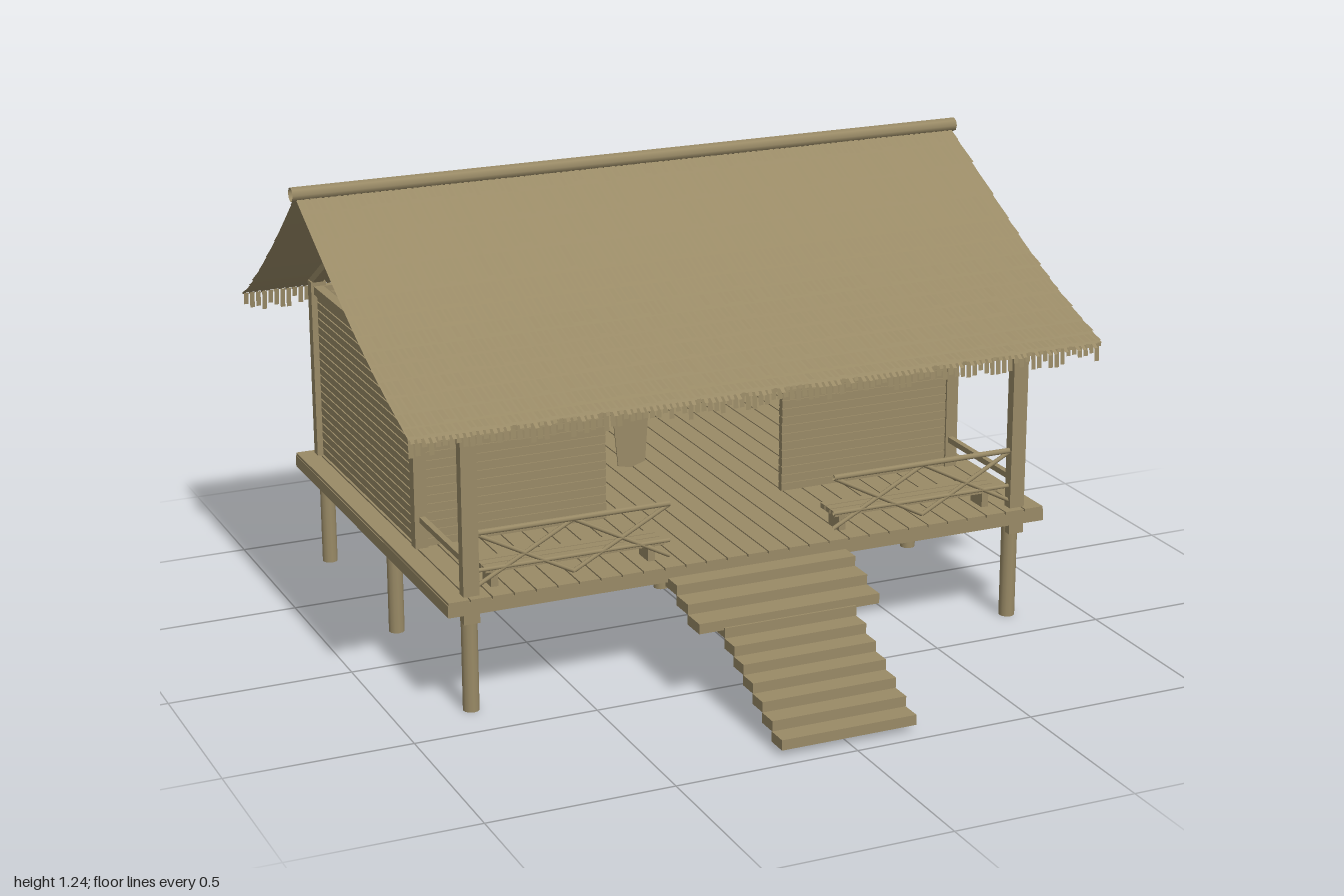
import * as THREE from 'three';
import { mergeGeometries } from 'three/addons/utils/BufferGeometryUtils.js';

const wood = new THREE.MeshStandardMaterial({ color: 0x998a66, side: THREE.DoubleSide });
wood.name = 'weathered wood';

// Box given by its min/max limits
function box(x0, x1, y0, y1, z0, z1) {
  return new THREE.BoxGeometry(x1 - x0, y1 - y0, z1 - z0)
    .translate((x0 + x1) / 2, (y0 + y1) / 2, (z0 + z1) / 2);
}

// Square or round bar between two points
function bar(a, b, w, h = 0) {
  const A = new THREE.Vector3(...a), B = new THREE.Vector3(...b);
  const len = A.distanceTo(B);
  const g = h ? new THREE.BoxGeometry(w, h, len)
    : new THREE.CylinderGeometry(w, w, len, 8, 1, true).rotateX(Math.PI / 2);
  const m = new THREE.Matrix4().lookAt(B, A, new THREE.Vector3(0, 1, 0));
  return g.applyMatrix4(m).translate(...A.add(B).multiplyScalar(0.5).toArray());
}

let seed = 7;
function rand() {
  seed = (seed * 16807) % 2147483647;
  return seed / 2147483647;
}

export function createModel() {
  const group = new THREE.Group();
  const add = (name, geos) => {
    const mesh = new THREE.Mesh(mergeGeometries(geos), wood);
    mesh.name = name;
    group.add(mesh);
  };

  // Stilts
  const stilts = [];
  for (const x of [-0.795, 0, 0.795])
    for (const z of [0.36, -0.225, -0.815])
      stilts.push(new THREE.CylinderGeometry(0.022, 0.022, 0.29, 12).translate(x, 0.145, z));
  add('stilts', stilts);

  // Deck slab with planks running front to back
  const deck = [box(-0.87, 0.87, 0.285, 0.318, -0.867, 0.413)];
  const planks = 29, pw = 1.74 / planks;
  for (let i = 0; i < planks; i++)
    deck.push(box(-0.87 + i * pw + 0.002, -0.87 + (i + 1) * pw - 0.002, 0.318, 0.326, -0.867, 0.413));
  add('deck', deck);

  // Steps: narrow flight below, wide treads above
  const steps = [];
  for (let i = 0; i < 7; i++) {
    const z = 0.955 - i * 0.0565, y = 0.017 + i * 0.029;
    steps.push(box(-0.19, 0.19, y, y + 0.028, z - 0.06, z));
  }
  for (let i = 0; i < 3; i++) {
    const z = 0.61 - i * 0.07, y = 0.212 + i * 0.028;
    steps.push(box(-0.26, 0.26, y, y + 0.028, z - 0.075, z));
  }
  add('steps', steps);

  // Frame posts and wall-top rails
  const posts = [box(-0.022, 0.022, 0.25, 0.84, -0.845, -0.815)];
  const rails = [box(-0.79, 0.79, 0.815, 0.832, -0.835, -0.81)];
  for (const s of [-1, 1]) {
    const x = s * 0.798;
    posts.push(box(x - 0.022, x + 0.022, 0.25, 0.805, 0.363, 0.392));
    posts.push(box(x - 0.022, x + 0.022, 0.25, 0.845, -0.845, -0.815));
    posts.push(box(x - 0.018, x + 0.018, 0.325, 0.852, -0.016, 0.016));
    rails.push(box(x - 0.014, x + 0.014, 0.808, 0.832, -0.83, 0));
  }
  add('posts', posts);
  add('wallRails', rails);

  // Walls of horizontal boards on a thin backing
  const wall = (name, x0, x1, z0, z1) => {
    const rows = 20, y0 = 0.326, pitch = 0.485 / rows;
    const alongX = x1 - x0 > z1 - z0, t = 0.004;
    const geos = [alongX ? box(x0, x1, y0, 0.811, z0 + t, z1 - t) : box(x0 + t, x1 - t, y0, 0.811, z0, z1)];
    for (let i = 0; i < rows; i++)
      geos.push(box(x0, x1, y0 + i * pitch + 0.002, y0 + (i + 1) * pitch - 0.002, z0, z1));
    add(name, geos);
  };
  wall('backWall', -0.79, 0.79, -0.835, -0.815);
  wall('rightWall', -0.803, -0.783, -0.83, -0.01);
  wall('leftWall', 0.783, 0.803, -0.83, -0.01);
  wall('frontWallRight', -0.79, -0.265, -0.01, 0.01);
  wall('frontWallLeft', 0.265, 0.79, -0.01, 0.01);

  // Curtain beside the doorway
  const c = new THREE.Shape([[-0.26, 0.81], [-0.257, 0.68], [-0.237, 0.48], [-0.2, 0.472],
    [-0.158, 0.485], [-0.145, 0.66], [-0.125, 0.81]].map(p => new THREE.Vector2(...p)));
  add('curtain', [new THREE.ExtrudeGeometry(c, { depth: 0.004, bevelEnabled: false }).translate(0, 0, 0.026)]);

  // Porch railings with crossed braces, side rails and benches
  const porch = [], benches = [];
  for (const s of [-1, 1]) {
    const z = 0.377;
    porch.push(bar([s * 0.79, 0.49, z], [s * 0.24, 0.49, z], 0.008));
    porch.push(bar([s * 0.79, 0.388, z], [s * 0.24, 0.388, z], 0.006));
    for (const [a, b] of [[0.78, 0.51], [0.51, 0.24]]) {
      porch.push(bar([s * a, 0.488, z], [s * b, 0.345, z], 0.006));
      porch.push(bar([s * a, 0.345, z], [s * b, 0.488, z], 0.006));
    }
    porch.push(bar([s * 0.795, 0.407, 0.37], [s * 0.795, 0.407, 0.01], 0.016, 0.016));
    const [l, r] = [s * 0.75, s * 0.25].sort((a, b) => a - b);
    for (let i = 0; i < 3; i++)
      benches.push(box(l, r, 0.372, 0.386, 0.28 + i * 0.03, 0.306 + i * 0.03));
    for (const x of [0.72, 0.28])
      benches.push(box(s * x - 0.01, s * x + 0.01, 0.326, 0.372, 0.29, 0.352));
  }
  add('porchRailings', porch);
  add('benches', benches);

  // Rafters
  const rafters = [];
  for (const x of [-0.8, 0.8]) {
    rafters.push(bar([x, 0.8, 0.385], [x, 1.125, -0.385], 0.03, 0.02));
    rafters.push(bar([x, 1.125, -0.375], [x, 0.84, -0.84], 0.03, 0.02));
  }
  add('rafters', rafters);

  // Thatch slopes: a sagging sheet, rows of leaf strips and a ragged fringe
  const slope = (name, pts, rows, dir) => {
    const curve = new THREE.SplineCurve(pts.map(p => new THREE.Vector2(...p)));
    const sheet = new THREE.PlaneGeometry(1.976, 1, 1, 16);
    const pos = sheet.attributes.position;
    for (let i = 0; i < pos.count; i++) {
      const p = curve.getPoint(0.5 - pos.getY(i));
      pos.setXYZ(i, pos.getX(i) * -dir * -1, p.y, p.x);
    }
    sheet.computeVertexNormals();
    add(name + 'Sheet', [sheet]);

    const strips = [], n = 110, w = 1.976 / n;
    const strip = (x, width, a, b, lift) => {
      // Strip lying along the slope, its lower end lifted
      const g = new THREE.PlaneGeometry(width, 1);
      const q = g.attributes.position;
      for (let i = 0; i < 4; i++) {
        const e = q.getY(i) > 0 ? a : b;
        q.setXYZ(i, x + dir * q.getX(i), e.y + (e === b ? lift : 0.002), e.x);
      }
      g.computeVertexNormals();
      strips.push(g);
    };
    for (let r = 0; r < rows; r++)
      for (let i = 0; i < n; i++) {
        const t = Math.min(1, (r + 0.85 + rand() * 0.25) / rows);
        strip(-0.988 + (i + 0.5) * w, w * (0.55 + rand() * 0.3),
          curve.getPoint(r / rows), curve.getPoint(t), 0.006 + rand() * 0.004);
      }
    const end = curve.getPoint(1);
    for (let i = 0; i < n; i++) {
      const x = -0.988 + (i + 0.5) * w;
      const drop = 0.025 + rand() * 0.03;
      const top = new THREE.Vector2(end.x - dir * 0.012, end.y);
      strip(x, w * 0.75, top, new THREE.Vector2(top.x + dir * 0.004, end.y - drop), 0);
      strip(x, w * 0.6, end, new THREE.Vector2(end.x + dir * rand() * 0.02, end.y - 0.008), 0);
    }
    add(name + 'Leaves', strips);
  };
  slope('frontThatch', [[-0.378, 1.212], [0, 1.008], [0.25, 0.892], [0.49, 0.803]], 13, 1);
  slope('backThatch', [[-0.382, 1.212], [-0.6, 1.03], [-0.83, 0.86], [-0.935, 0.803]], 9, -1);

  // Ridge pole
  add('ridgePole', [bar([-1, 1.221, -0.38], [1, 1.221, -0.38], 0.02)]);

  return group;
}
